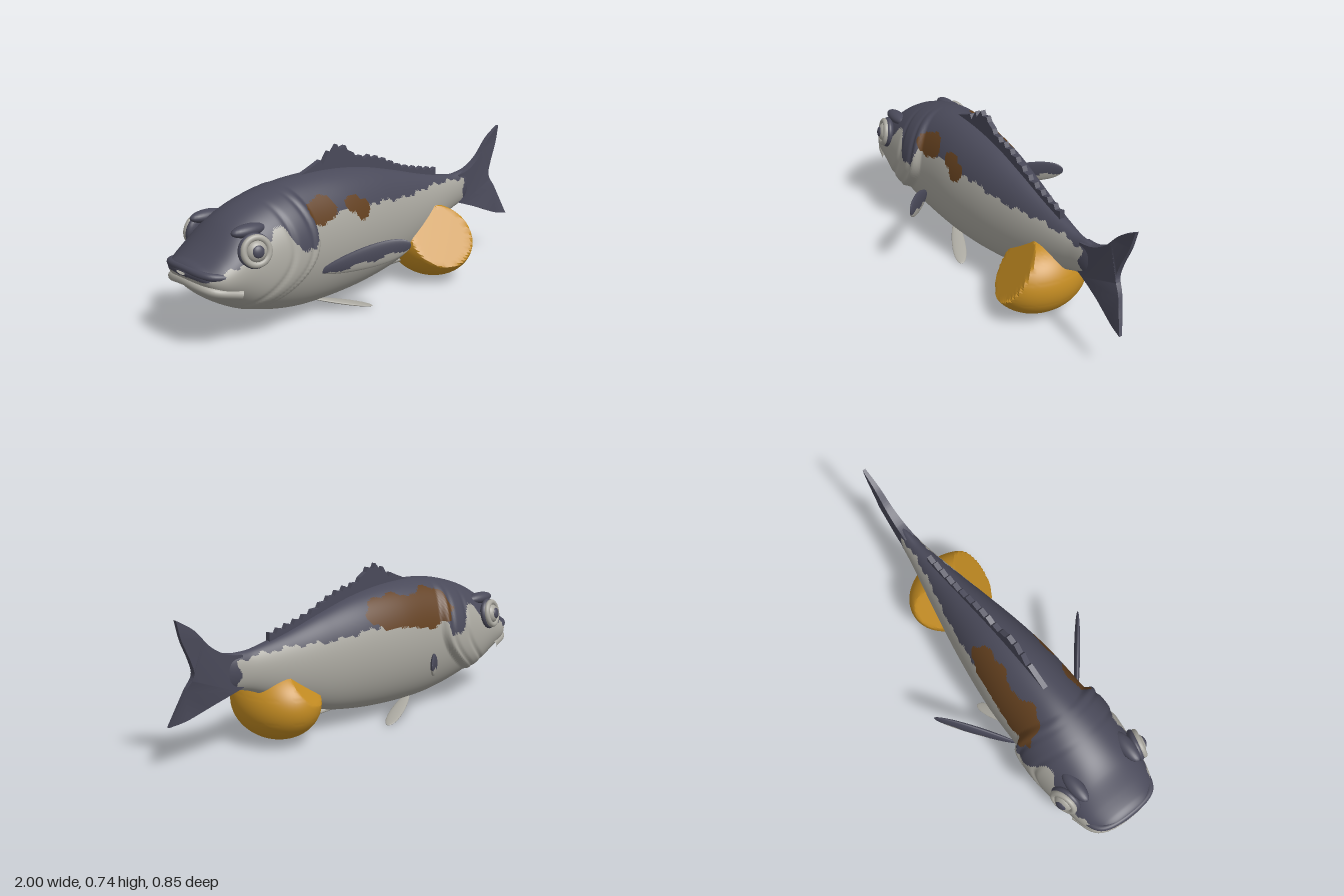
import * as THREE from 'three';
import { toCreasedNormals } from 'three/addons/utils/BufferGeometryUtils.js';

const V = (x, y, z) => new THREE.Vector3(x, y, z);
const step = THREE.MathUtils.smoothstep;

// Smooth interpolation through rows of [x, value, value, ...]
function sample(rows, x, k) {
  let i = 0;
  while (i < rows.length - 2 && x > rows[i + 1][0]) i++;
  const slope = (n) => {
    const a = rows[Math.max(n - 1, 0)], b = rows[Math.min(n + 1, rows.length - 1)];
    return (b[k] - a[k]) / (b[0] - a[0]);
  };
  const p = rows[i], q = rows[i + 1], h = q[0] - p[0];
  const t = Math.min(Math.max((x - p[0]) / h, 0), 1), t2 = t * t, t3 = t2 * t;
  return (2 * t3 - 3 * t2 + 1) * p[k] + (t3 - 2 * t2 + t) * h * slope(i)
    + (3 * t2 - 2 * t3) * q[k] + (t3 - t2) * h * slope(i + 1);
}

// Sort the faces of an indexed geometry into material groups by a rule on their centres
function paint(geo, pick, count) {
  const index = geo.index.array, pos = geo.attributes.position;
  const lists = Array.from({ length: count }, () => []);
  const c = V(0, 0, 0), p = V(0, 0, 0);
  for (let i = 0; i < index.length; i += 3) {
    c.set(0, 0, 0);
    for (let k = 0; k < 3; k++) c.add(p.fromBufferAttribute(pos, index[i + k]));
    c.divideScalar(3);
    lists[pick(c)].push(index[i], index[i + 1], index[i + 2]);
  }
  geo.setIndex(lists.flat());
  geo.clearGroups();
  let start = 0;
  lists.forEach((l, m) => { geo.addGroup(start, l.length, m); start += l.length; });
  return geo;
}

// Body stations: x, top, bottom, half width
const BODY = [
  [-1, 0.362, 0.345, 0.03], [-0.985, 0.385, 0.315, 0.11], [-0.95, 0.405, 0.265, 0.16], [-0.9, 0.445, 0.22, 0.192],
  [-0.8, 0.535, 0.16, 0.212], [-0.7, 0.588, 0.12, 0.214], [-0.55, 0.632, 0.08, 0.208], [-0.4, 0.652, 0.06, 0.198],
  [-0.2, 0.652, 0.062, 0.19], [0, 0.628, 0.08, 0.165], [0.2, 0.58, 0.12, 0.13], [0.4, 0.525, 0.2, 0.09],
  [0.6, 0.485, 0.295, 0.05], [0.7, 0.485, 0.325, 0.033], [0.76, 0.48, 0.34, 0.008],
];
// Lower edge of the dark back: x, y
const BACK = [
  [-1, 0.335], [-0.9, 0.37], [-0.8, 0.41], [-0.7, 0.46], [-0.63, 0.51], [-0.58, 0.46], [-0.54, 0.4], [-0.46, 0.4],
  [-0.43, 0.5], [-0.3, 0.505], [-0.1, 0.495], [0, 0.49], [0.2, 0.468], [0.4, 0.472], [0.6, 0.462], [0.7, 0.45],
];
// Brown patches: x, y, radius x, radius y for each side
const PATCHES = {
  left: [[-0.375, 0.525, 0.085, 0.058], [-0.185, 0.52, 0.05, 0.035], [-0.135, 0.485, 0.045, 0.045]],
  right: [[-0.37, 0.53, 0.13, 0.09], [-0.14, 0.545, 0.15, 0.075], [-0.26, 0.52, 0.1, 0.06]],
};

function bodyColour({ x, y, z }) {
  const wobble = 0.006 * Math.sin(x * 47) + 0.005 * Math.sin(x * 113 + 1);
  const dents = 1 + 0.12 * Math.sin(x * 60 + y * 40) + 0.1 * Math.sin(y * 95 - x * 30);
  const brown = PATCHES[z > 0 ? 'left' : 'right']
    .some(([px, py, rx, ry]) => ((x - px) / rx) ** 2 + ((y - py) / ry) ** 2 < dents);
  if (brown) return 2;
  return x > 0.685 + 0.01 * Math.sin(y * 60) || y > sample(BACK, x, 1) + wobble ? 0 : 1;
}

function bodyGeometry() {
  const rows = 230, sides = 120, pos = [], index = [];
  for (let i = 0; i <= rows; i++) {
    const x = -1 + 1.76 * (i / rows) ** 1.25;
    const [top, bottom, w] = [1, 2, 3].map((k) => sample(BODY, x, k));
    for (let j = 0; j < sides; j++) {
      const a = (j / sides) * Math.PI * 2;
      const y = (top + bottom) / 2 + ((top - bottom) / 2) * Math.sin(a);
      // Raised gill cover with a groove in front of its rim
      const d = -0.42 - (y < 0.42 ? 3.7 : 1.4) * (y - 0.42) ** 2 - x;
      const gill = 0.032 * step(d, 0, 0.025) * (1 - step(d, 0.05, 0.4))
        - 0.008 * Math.exp(-(((d - 0.055) / 0.012) ** 2)) - 0.008 * Math.exp(-(((d - 0.16) / 0.015) ** 2));
      pos.push(x, y, (w + gill * step(x, -0.95, -0.7)) * Math.cos(a));
      if (i < rows) {
        const p = i * sides + j, q = i * sides + ((j + 1) % sides);
        index.push(p, p + sides, q, p + sides, q + sides, q);
      }
    }
  }
  const geo = new THREE.BufferGeometry();
  geo.setAttribute('position', new THREE.Float32BufferAttribute(pos, 3));
  geo.setIndex(index);
  geo.computeVertexNormals();
  return paint(geo, bodyColour, 3);
}

// Flattened leaf from base to tip, broadest towards the tip
function leafGeometry(base, tip, across, width, thick) {
  const geo = new THREE.SphereGeometry(1, 32, 24), pos = geo.attributes.position;
  for (let i = 0; i < pos.count; i++) pos.setX(i, pos.getX(i) * (0.9 + 0.25 * pos.getY(i)));
  paint(geo, (c) => (c.x + 0.12 * Math.sin(c.y * 9) > -0.3 ? 0 : 1), 2);
  const axis = tip.clone().sub(base), half = axis.length() / 2;
  axis.normalize();
  const side = across.clone().addScaledVector(axis, -across.dot(axis)).normalize();
  const m = new THREE.Matrix4().makeBasis(side.clone().multiplyScalar(width), axis.clone().multiplyScalar(half),
    side.clone().cross(axis).multiplyScalar(thick));
  m.setPosition(base.clone().add(tip).multiplyScalar(0.5));
  geo.applyMatrix4(m);
  geo.computeVertexNormals();
  return geo;
}

export function createModel() {
  const fish = new THREE.Group();
  fish.name = 'fishWithLemon';
  const material = (name, color) => {
    const m = new THREE.MeshStandardMaterial({ color });
    m.name = name;
    return m;
  };
  const dark = material('slate back', 0x4a4a5a), pale = material('pale belly', 0xa9a79f);
  const brown = material('brown patch', 0x63401f), yellow = material('lemon peel', 0xc48c22);
  const add = (name, geo, mat, parent = fish) => {
    const mesh = new THREE.Mesh(geo, mat);
    mesh.name = name;
    parent.add(mesh);
    return mesh;
  };

  add('body', bodyGeometry(), [dark, pale, brown]);

  // Lips wrap around the blunt snout
  const lip = (name, pts, r, mat) => {
    const path = [...pts.map(([x, y, z]) => V(x, y, z)), ...pts.slice(0, -1).reverse().map(([x, y, z]) => V(x, y, -z))];
    add(name, new THREE.TubeGeometry(new THREE.CatmullRomCurve3(path), 48, r, 12), mat);
  };
  lip('upperLip', [[-0.86, 0.345, 0.185], [-0.955, 0.357, 0.14], [-0.983, 0.368, 0]], 0.017, dark);
  lip('lowerLip', [[-0.83, 0.265, 0.185], [-0.945, 0.292, 0.142], [-0.978, 0.313, 0]], 0.021, pale);

  for (const s of [1, -1]) {
    const side = s > 0 ? 'left' : 'right';
    // Eye: socket, rim, iris and pupil
    const eye = new THREE.Group();
    eye.name = side + 'Eye';
    eye.position.set(-0.77, 0.442, s * 0.2);
    eye.lookAt(-0.85, 0.5, s * 0.5);
    fish.add(eye);
    const ball = (name, r, depth, z, mat) => {
      const b = add(name, new THREE.SphereGeometry(1, 32, 16), mat, eye);
      b.scale.set(r, r, depth);
      b.position.z = z;
    };
    ball('socket', 0.075, 0.03, 0, dark);
    add('rim', new THREE.TorusGeometry(0.056, 0.014, 12, 40), pale, eye).position.z = 0.018;
    ball('iris', 0.046, 0.03, 0.016, pale);
    ball('pupil', 0.027, 0.014, 0.037, dark);
    const brow = add(side + 'Brow', new THREE.SphereGeometry(1, 24, 16), dark);
    brow.scale.set(0.085, 0.028, 0.035);
    brow.position.set(-0.76, 0.515, s * 0.145);

    add(side + 'PectoralFin', leafGeometry(V(-0.4, 0.255, s * 0.18), V(-0.095, s > 0 ? 0.375 : 0.355, s * 0.425),
      V(0, 1, 0), 0.055, 0.014), [dark, pale]);
    add(side + 'PelvicFin', leafGeometry(V(-0.35, 0.085, s * 0.05), V(-0.08, 0.012, s * 0.17),
      V(-0.4, 0, s), 0.036, 0.009), pale);
  }
  add('analFin', leafGeometry(V(0.05, 0.11, 0), V(0.4, 0.115, 0), V(0, 0.5, 1), 0.022, 0.012), pale);

  // Spiny dorsal fin
  const crest = [[-0.4, 0.64], [-0.32, 0.67], [-0.24, 0.705], [-0.18, 0.745], [-0.12, 0.755], [-0.03, 0.69],
    [0.06, 0.675], [0.15, 0.645], [0.25, 0.6], [0.34, 0.575], [0.43, 0.555], [0.5, 0.54]];
  const dorsal = new THREE.Shape();
  dorsal.moveTo(-0.4, 0.6);
  for (let i = 0; i <= 18; i++) {
    const x = -0.4 + i * 0.05, y = sample(crest, x, 1);
    dorsal.lineTo(x, y);
    if (i > 2 && i < 18) dorsal.lineTo(x + 0.012, y - 0.022);
  }
  dorsal.lineTo(0.5, 0.48);
  dorsal.lineTo(0, 0.58);
  add('dorsalFin', new THREE.ExtrudeGeometry(dorsal, { depth: 0.024, bevelEnabled: false }).translate(0, 0, -0.012), dark);

  // Forked tail, thinning and swinging aside towards the lower tip
  const tail = new THREE.Shape();
  tail.moveTo(0.66, 0.475);
  tail.splineThru([[0.74, 0.492], [0.82, 0.54], [0.9, 0.625], [0.985, 0.68]].map((p) => new THREE.Vector2(...p)));
  tail.splineThru([[0.96, 0.59], [0.92, 0.5], [0.902, 0.43], [0.935, 0.37], [0.965, 0.3], [1, 0.215]].map((p) => new THREE.Vector2(...p)));
  tail.splineThru([[0.92, 0.232], [0.8, 0.28], [0.66, 0.33]].map((p) => new THREE.Vector2(...p)));
  const tailGeo = new THREE.ExtrudeGeometry(tail, { depth: 2, bevelEnabled: false, curveSegments: 16 }).translate(0, 0, -1);
  const tp = tailGeo.attributes.position;
  for (let i = 0; i < tp.count; i++) {
    const x = tp.getX(i), y = tp.getY(i), t = (x - 0.66) / 0.34;
    const swing = t * (0.45 - y) * (y < 0.45 ? 0.22 : 0.04);
    tp.setZ(i, tp.getZ(i) * (0.026 - 0.019 * t) + swing);
  }
  add('tailFin', toCreasedNormals(tailGeo, 0.6), dark);

  // Cut lemon: an ellipsoid trimmed by two planes
  const lemon = new THREE.SphereGeometry(1, 72, 54).scale(0.185, 0.175, 0.232);
  const cuts = [[V(-0.3, 0.55, 0.78).normalize(), 0.115], [V(-0.4, 0.65, -0.6).normalize(), 0.165]];
  const lp = lemon.attributes.position, p = V(0, 0, 0);
  for (let i = 0; i < lp.count; i++) {
    p.fromBufferAttribute(lp, i);
    for (const [n, d] of cuts) p.multiplyScalar(Math.min(1, d / Math.max(n.dot(p), 1e-6)));
    lp.setXYZ(i, p.x, p.y, p.z);
  }
  lemon.translate(0.413, 0.2, 0.06);
  add('lemon', toCreasedNormals(lemon, 0.5), yellow);
  return fish;
}
